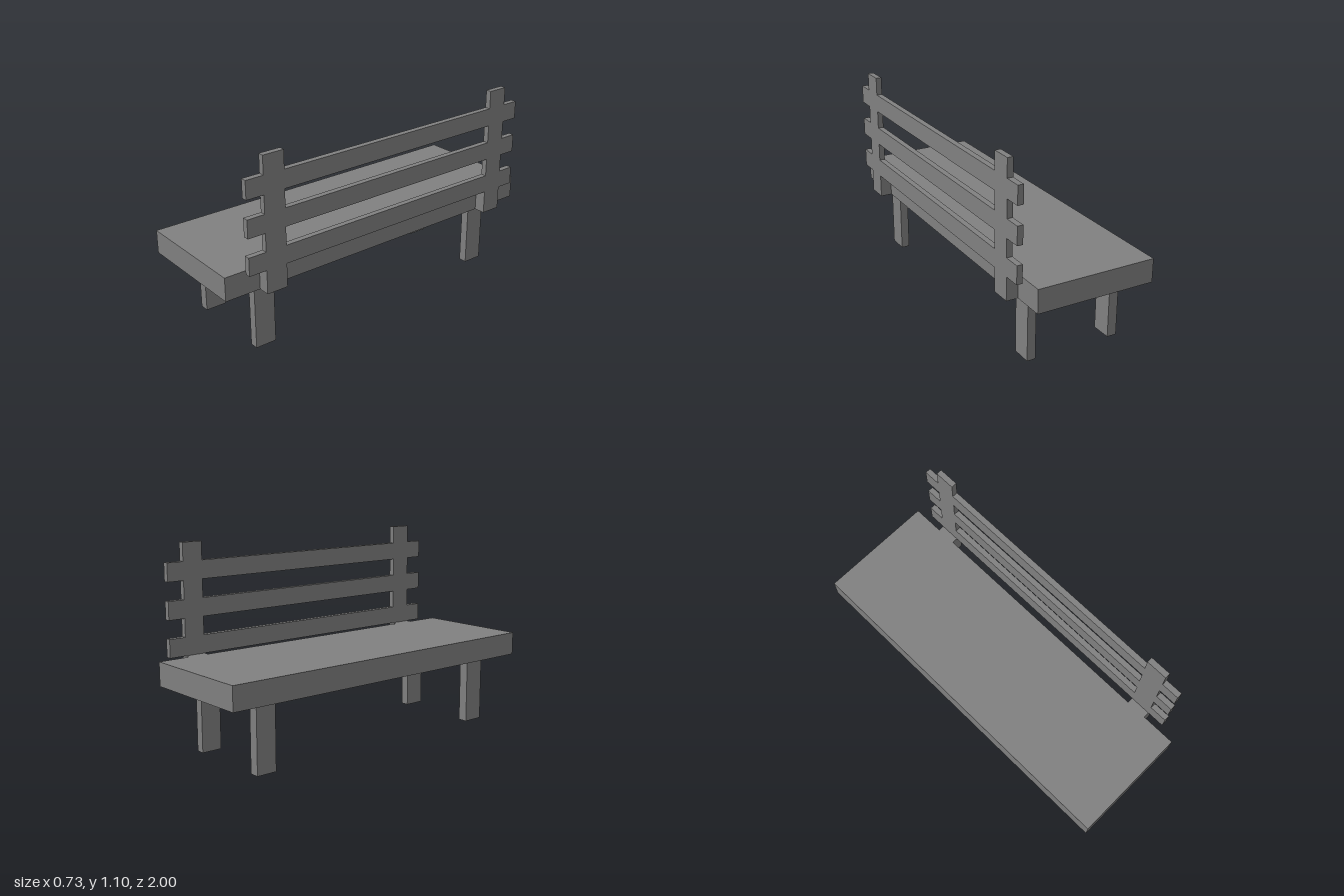
import * as THREE from 'three';

export function createModel() {
  const bench = new THREE.Group();
  bench.name = 'bench';
  const grey = new THREE.MeshStandardMaterial({ color: 0x808080 });
  grey.name = 'grey';

  // Box given by its minimum and maximum along each axis
  const box = (name, [x0, x1], [y0, y1], [z0, z1]) => {
    const mesh = new THREE.Mesh(new THREE.BoxGeometry(x1 - x0, y1 - y0, z1 - z0), grey);
    mesh.position.set((x0 + x1) / 2, (y0 + y1) / 2, (z0 + z1) / 2);
    mesh.name = name;
    bench.add(mesh);
  };

  // Seat slab
  box('seat', [-0.365, 0.3], [0.37, 0.5], [-1, 1]);

  // Legs and backrest brackets share the same two stations along the bench
  const near = [0.68, 0.8], far = [-0.82, -0.705];
  for (const station of [near, far]) {
    box('frontLeg', [-0.297, -0.243], [0, 0.37], station);
    box('rearLeg', [0.195, 0.243], [0, 0.37], station);
    box('backBracket', [0.3, 0.365], [0.37, 0.5], station);
  }

  // Backrest: two posts and three slats cut as one flat frame (drawn in z, y)
  const slats = [[0.5, 0.6], [0.7, 0.8], [0.9, 1.0]];
  const top = 1.1, slatEnds = [-0.915, 0.9];
  const points = [[far[0], 0.5]];
  points.length = 0;
  for (const [low, high] of slats) {
    points.push([near[1], low], [slatEnds[1], low], [slatEnds[1], high], [near[1], high]);
  }
  points.push([near[1], top], [near[0], top], [near[0], 1.0], [far[1], 1.0], [far[1], top], [far[0], top]);
  for (const [low, high] of [...slats].reverse()) {
    points.push([far[0], high], [slatEnds[0], high], [slatEnds[0], low], [far[0], low]);
  }
  const outline = new THREE.Shape(points.map(([z, y]) => new THREE.Vector2(z, y)));

  // Gaps between the slats
  for (const [low, high] of [[0.6, 0.7], [0.8, 0.9]]) {
    outline.holes.push(new THREE.Path([
      new THREE.Vector2(far[1], low), new THREE.Vector2(far[1], high),
      new THREE.Vector2(near[0], high), new THREE.Vector2(near[0], low),
    ]));
  }
  const back = new THREE.Mesh(
    new THREE.ExtrudeGeometry(outline, { depth: 0.032, bevelEnabled: false }), grey);
  back.rotation.y = -Math.PI / 2;
  back.position.x = 0.365;
  back.name = 'backrest';
  bench.add(back);

  return bench;
}
